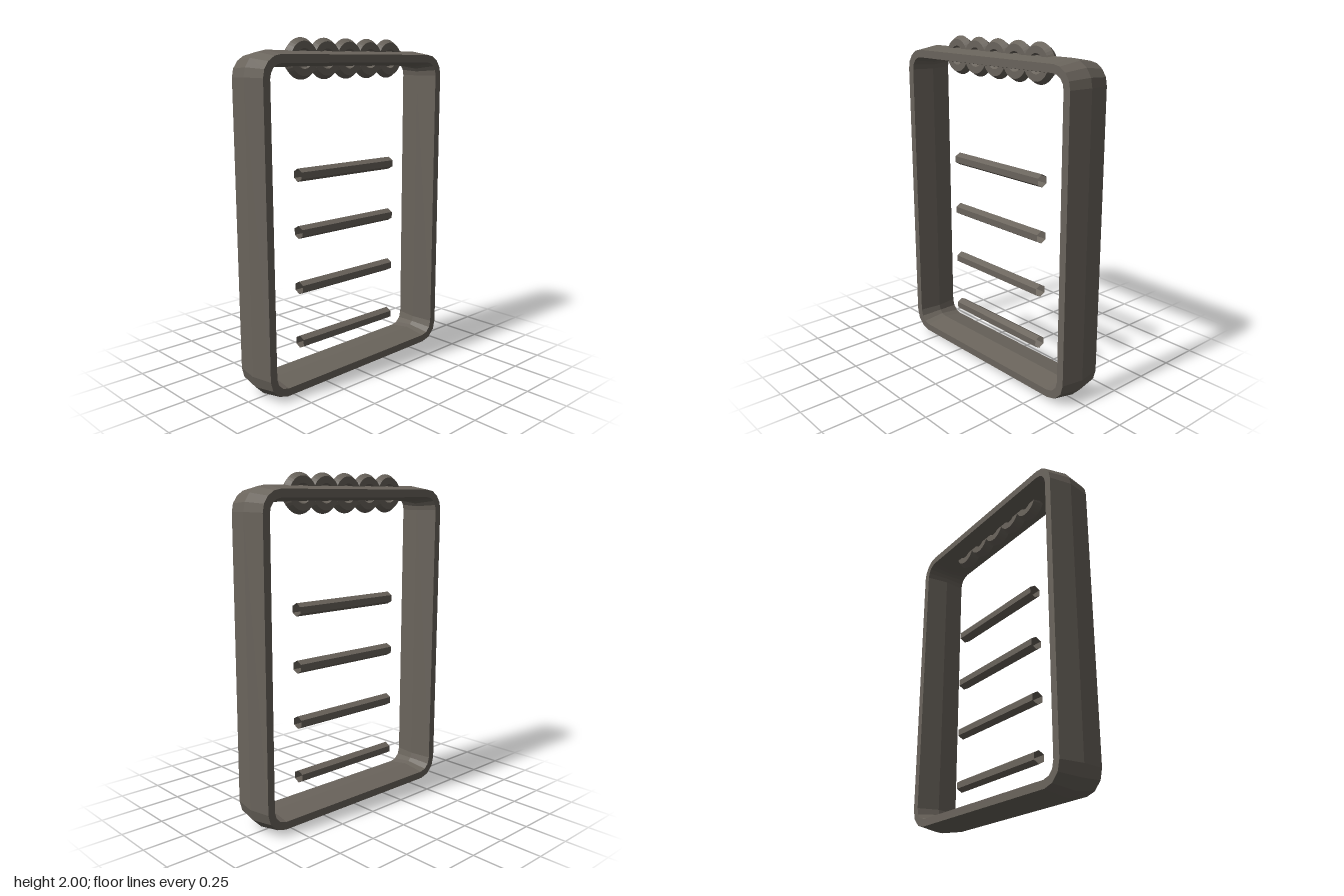
import * as THREE from 'three';

const material = new THREE.MeshStandardMaterial({ color: 0x6a645c, flatShading: true, side: THREE.DoubleSide });

// Sweep a six-sided section (inPlane wide, depth deep along z) along a path in the xy plane,
// mitring the corners. Closed paths run counter-clockwise.
function sweep(name, path, inPlane, depth, closed) {
  const n = path.length, sides = 6, positions = [], index = [];
  path.forEach((p, i) => {
    const before = closed ? path[(i + n - 1) % n] : path[Math.max(i - 1, 0)];
    const after = closed ? path[(i + 1) % n] : path[Math.min(i + 1, n - 1)];
    const a = p.clone().sub(before).normalize();
    const b = after.clone().sub(p).normalize();
    const t = a.clone().add(b).normalize();
    const mitre = 1 / Math.max(t.dot(a), t.dot(b));
    for (let j = 0; j < sides; j++) {
      const angle = (j / sides) * Math.PI * 2;
      const out = Math.cos(angle) * inPlane * mitre;
      const z = (Math.sin(angle) / Math.sin(Math.PI / 3)) * depth;
      positions.push(p.x + t.y * out, p.y - t.x * out, z);
    }
  });
  for (let i = 0; i < (closed ? n : n - 1); i++) {
    for (let j = 0; j < sides; j++) {
      const k = (j + 1) % sides, m = (i + 1) % n;
      const a = i * sides + j, b = m * sides + j, c = m * sides + k, d = i * sides + k;
      index.push(a, b, c, a, c, d);
    }
  }
  const geometry = new THREE.BufferGeometry();
  geometry.setAttribute('position', new THREE.Float32BufferAttribute(positions, 3));
  geometry.setIndex(index);
  geometry.computeVertexNormals();
  const mesh = new THREE.Mesh(geometry, material);
  mesh.name = name;
  return mesh;
}

// Corner centre, radius, start angle in quarter turns, segment count
function corner(x, y, r, quarter, segments) {
  return Array.from({ length: segments + 1 }, (_, i) => {
    const a = (quarter + i / segments) * Math.PI / 2;
    return new THREE.Vector2(x + r * Math.cos(a), y + r * Math.sin(a));
  });
}

export function createModel() {
  const group = new THREE.Group();

  // Rounded, slightly leaning frame
  const framePath = [
    ...corner(0.568, 1.785, 0.1, 0, 4),
    ...corner(-0.577, 1.785, 0.1, 1, 4),
    ...corner(-0.57, 0.147, 0.1, 2, 3),
    ...corner(0.575, 0.157, 0.1, 3, 3),
  ];
  group.add(sweep('frame', framePath, 0.045, 0.136, true));

  // Row of overlapping rings through the top rail
  const rings = new THREE.Group();
  rings.name = 'topRings';
  for (let i = -2; i <= 2; i++) {
    const circle = Array.from({ length: 36 }, (_, k) => {
      const a = (k / 36) * Math.PI * 2;
      return new THREE.Vector2(i * 0.169 + 0.075 * Math.cos(a), 1.885 + 0.075 * Math.sin(a));
    });
    rings.add(sweep('ring', circle, 0.039, 0.034, true));
  }
  group.add(rings);

  // Four open-ended horizontal bars
  const bars = new THREE.Group();
  bars.name = 'bars';
  for (let i = 0; i < 4; i++) {
    const y = 0.254 + i * 0.33;
    const line = [new THREE.Vector2(-0.37, y), new THREE.Vector2(0.37, y)];
    bars.add(sweep('bar', line, 0.038, 0.034, false));
  }
  group.add(bars);

  return group;
}
